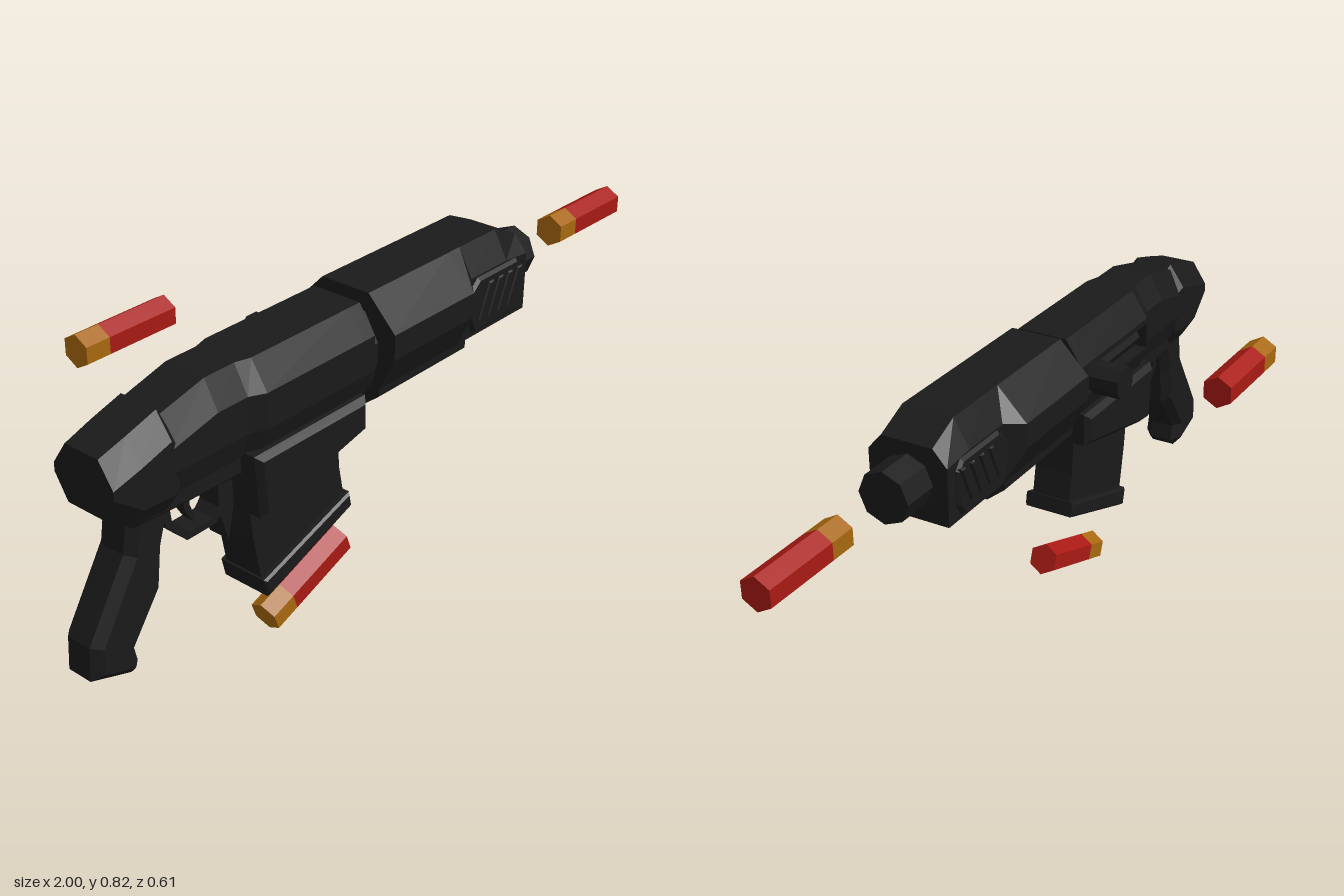
import * as THREE from 'three';

const mat = (color) => new THREE.MeshStandardMaterial({ color, flatShading: true, roughness: 0.8 });
const Z = 0.157; // centre plane of the body

export function createModel() {
  const root = new THREE.Group();
  const body = new THREE.Group();
  body.name = 'body';
  body.position.z = Z;
  root.add(body);
  const black = mat(0x1a1a1a), red = mat(0xa81a14), brass = mat(0xa8680f);

  const add = (name, geo, parent = body, material = black) => {
    const m = new THREE.Mesh(geo, material);
    m.name = name;
    parent.add(m);
    return m;
  };

  // Mirrors a half profile [halfWidth, y], top to bottom, into a ring of [z, y]
  const mirror = (half) => [...half, ...half.map(([w, y]) => [-w, y]).reverse()];

  // Skins rings placed along x: sections = [[x, ring], ...]
  const loft = (sections) => {
    const pos = [];
    const v = ([x, ring], i) => pos.push(x, ring[i][1], ring[i][0]);
    for (let s = 0; s < sections.length - 1; s++) {
      const a = sections[s], b = sections[s + 1], n = a[1].length;
      for (let i = 0; i < n; i++) {
        const j = (i + 1) % n;
        v(a, i); v(a, j); v(b, i);
        v(a, j); v(b, j); v(b, i);
      }
    }
    const cap = (s, flip) => {
      const contour = s[1].map(([z, y]) => new THREE.Vector2(-z, y));
      for (const [a, b, c] of THREE.ShapeUtils.triangulateShape(contour, [])) {
        v(s, a); v(s, flip ? c : b); v(s, flip ? b : c);
      }
    };
    cap(sections[0], true);
    cap(sections[sections.length - 1], false);
    const g = new THREE.BufferGeometry();
    g.setAttribute('position', new THREE.Float32BufferAttribute(pos, 3));
    g.computeVertexNormals();
    return g;
  };

  // Side outline extruded to a half width, with chamfered edges
  const slab = (pts, half, bevel = 0) => {
    const g = new THREE.ExtrudeGeometry(new THREE.Shape(pts.map((p) => new THREE.Vector2(...p))), {
      depth: 2 * (half - bevel), bevelEnabled: bevel > 0, bevelThickness: bevel,
      bevelSize: bevel, bevelOffset: -bevel, bevelSegments: 1,
    });
    return g.translate(0, 0, bevel - half);
  };

  // Cylinder along x between two positions
  const rod = (x0, x1, r, sides, y = 0) =>
    new THREE.CylinderGeometry(r, r, x1 - x0, sides).rotateZ(-Math.PI / 2).translate((x0 + x1) / 2, y, 0);

  // Rear cap
  const rear = (x, top, bottom, w) => [x, mirror([[w * 0.55, top], [w, top - 0.06], [w, bottom + 0.06], [w * 0.6, bottom]])];
  add('rearCap', loft([rear(-0.945, 0.742, 0.6, 0.09), rear(-0.87, 0.765, 0.545, 0.095),
    rear(-0.785, 0.79, 0.54, 0.095), rear(-0.76, 0.77, 0.54, 0.085)]));

  // Receiver, with a slot cut in its right side
  const recv = (x, top, w) => [x, mirror([[w * 0.6, top], [w, top - 0.07], [w, 0.65], [w * 0.8, 0.587]])];
  const slotted = (x) => {
    const ring = recv(x, 0.81, 0.115)[1];
    ring.splice(6, 0, [-0.115, 0.655], [-0.065, 0.655], [-0.065, 0.725], [-0.115, 0.725]);
    return [x, ring];
  };
  add('receiverRear', loft([recv(-0.79, 0.775, 0.092), recv(-0.65, 0.81, 0.095),
    recv(-0.56, 0.81, 0.095), recv(-0.52, 0.81, 0.115)]));
  add('receiverMiddle', loft([slotted(-0.52), slotted(-0.2)]));
  add('receiverFront', loft([recv(-0.2, 0.81, 0.115), recv(-0.16, 0.81, 0.115)]));
  add('collar', loft([recv(-0.17, 0.775, 0.1), recv(-0.12, 0.775, 0.1)]));
  add('slideBar', rod(-0.5, -0.24, 0.03, 6, 0.69)).position.z = -0.075;
  const handle = add('slideHandle', new THREE.CylinderGeometry(0.044, 0.044, 0.14, 8, 1).rotateY(Math.PI / 8).rotateX(Math.PI / 2));
  handle.position.set(-0.24, 0.685, -0.127);

  // Front guard: wide at the back, slimmer toward the muzzle
  const guard = (x, top, w, shoulder) => [x, mirror([[Math.min(0.07, w * 0.65), top], [w, shoulder], [w, 0.675], [Math.min(0.107, w), 0.587]])];
  add('frontGuard', loft([guard(-0.13, 0.823, 0.15, 0.74), guard(0.17, 0.823, 0.15, 0.74),
    guard(0.215, 0.823, 0.11, 0.75), guard(0.36, 0.823, 0.11, 0.75), guard(0.45, 0.783, 0.108, 0.74)]));
  const under = mirror([[0.107, 0.6], [0.105, 0.565], [0.055, 0.525]]);
  add('lowerGuard', loft([[-0.13, under], [0.205, under]]));

  // Side panels with slanted ribs
  add('sidePanels', slab([[0.2, 0.65], [0.225, 0.6], [0.4, 0.6], [0.42, 0.63], [0.42, 0.72], [0.4, 0.745], [0.24, 0.745], [0.2, 0.71]], 0.118, 0.008));
  for (let i = 0; i < 4; i++) {
    const x = 0.235 + i * 0.04;
    add('panelRib', slab([[x, 0.63], [x + 0.02, 0.63], [x + 0.06, 0.725], [x + 0.04, 0.725]], 0.124, 0.004));
  }

  // Muzzle
  add('barrel', rod(0.42, 0.55, 0.068, 8, 0.685));

  // Magazine housing, magazine and its base
  add('magazineHousing', slab([[-0.56, 0.595], [-0.545, 0.43], [-0.5, 0.435], [-0.185, 0.505], [-0.185, 0.595]], 0.123, 0.015));
  add('magazine', slab([[-0.535, 0.5], [-0.515, 0.34], [-0.485, 0.18], [-0.195, 0.285], [-0.215, 0.39], [-0.225, 0.52]], 0.056));
  add('magazineBase', slab([[-0.497, 0.218], [-0.485, 0.168], [-0.185, 0.277], [-0.193, 0.318]], 0.074, 0.006));
  add('releaseLever', slab([[-0.595, 0.54], [-0.595, 0.44], [-0.567, 0.352], [-0.548, 0.44], [-0.545, 0.54]], 0.03));

  // Lower frame, trigger guard and trigger
  add('lowerFrame', slab([[-0.87, 0.61], [-0.87, 0.545], [-0.77, 0.535], [-0.54, 0.525], [-0.54, 0.61]], 0.065, 0.012));
  const guardPts = [[-0.765, 0.54], [-0.757, 0.48], [-0.695, 0.415], [-0.605, 0.415], [-0.565, 0.455]];
  const inner = [[-0.575, 0.475], [-0.613, 0.433], [-0.687, 0.433], [-0.738, 0.487], [-0.745, 0.54]];
  add('triggerGuard', slab([...guardPts, ...inner], 0.03));
  add('trigger', slab([[-0.69, 0.54], [-0.685, 0.48], [-0.662, 0.443], [-0.655, 0.452], [-0.67, 0.49], [-0.66, 0.54]], 0.015));

  // Grip
  add('grip', slab([[-0.87, 0.57], [-0.885, 0.475], [-0.995, 0.295], [-1, 0.21], [-0.885, 0.168],
    [-0.865, 0.19], [-0.875, 0.235], [-0.79, 0.355], [-0.778, 0.46], [-0.75, 0.56]], 0.056, 0.022));

  // Loose cartridges: brass base and red hull
  const cartridge = (x, y, z, angle) => {
    const g = new THREE.Group();
    g.name = 'cartridge';
    g.position.set(x, y, z);
    g.rotation.z = angle;
    const hex = (a, b) => rod(a, b, 0.0437, 6).rotateX(Math.PI / 2);
    // Turn the prism so a corner points up
    const up = (geo) => {
      geo.computeBoundingBox();
      return geo.boundingBox.max.y < 0.043 ? geo.rotateX(Math.PI / 2) : geo;
    };
    add('cartridgeBase', up(hex(-0.142, -0.07)), g, brass);
    add('cartridgeHull', up(hex(-0.07, 0.142)), g, red);
    root.add(g);
  };
  cartridge(0.858, 0.685, Z, 0);
  cartridge(-0.448, 0.685, -0.268, 0);
  cartridge(-0.29, 0.091, Z, 0.35);

  return root;
}
